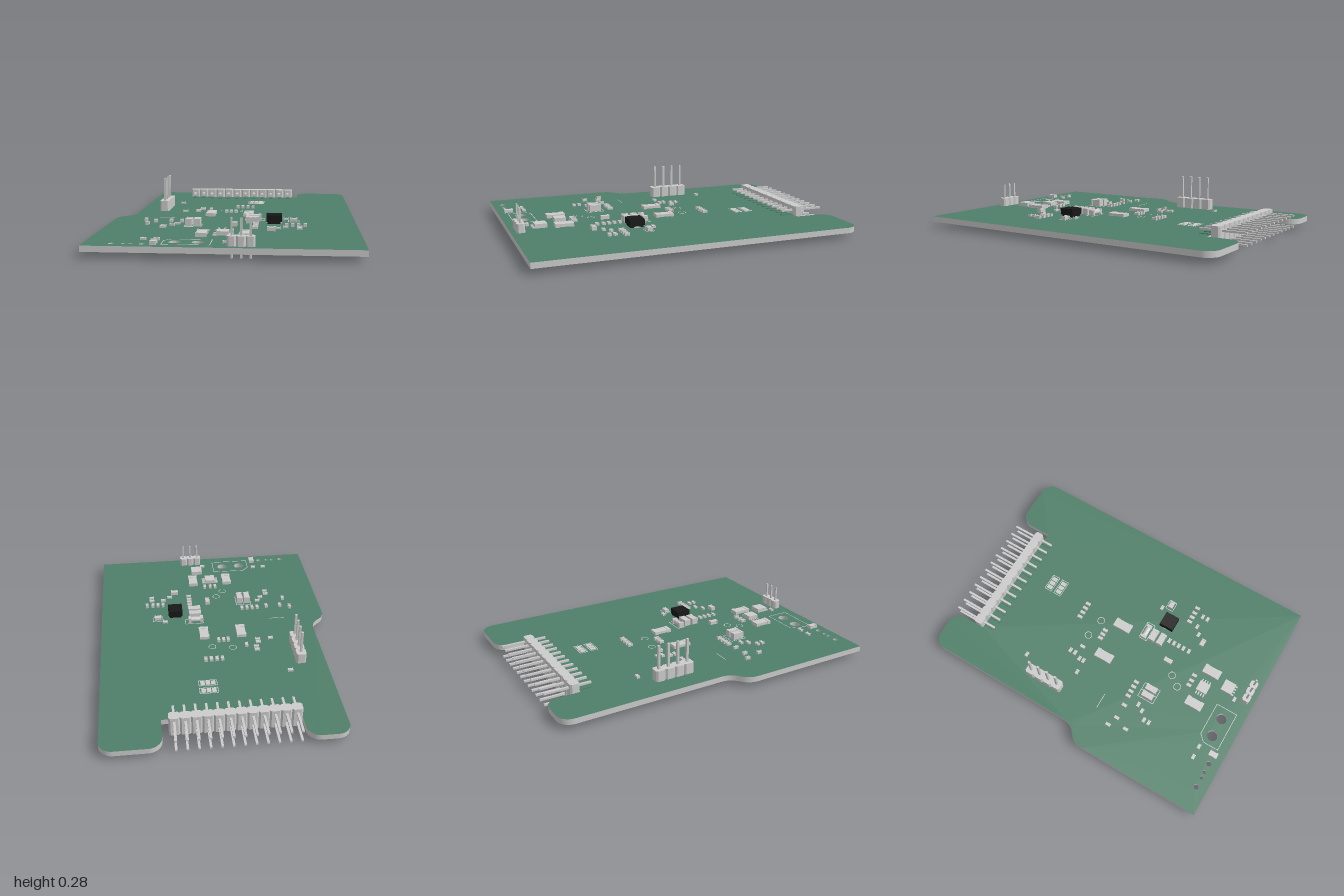
import * as THREE from 'three';

const TOP = 0.075, BOTTOM = 0.041;
const grey = new THREE.MeshStandardMaterial({ color: 0xcccccc, flatShading: true });
const green = new THREE.MeshStandardMaterial({ color: 0x4f7f69 });
const black = new THREE.MeshStandardMaterial({ color: 0x181818, flatShading: true });

export function createModel() {
  const model = new THREE.Group();

  function group(name, parent = model) {
    const g = new THREE.Group();
    g.name = name;
    parent.add(g);
    return g;
  }
  // Box given by centre x and z, bottom y, and its sizes
  function box(parent, name, x, y, z, w, h, d, material = grey) {
    const m = new THREE.Mesh(new THREE.BoxGeometry(w, h, d), material);
    m.position.set(x, y + h / 2, z);
    m.name = name;
    parent.add(m);
    return m;
  }
  // Chamfered block extruded along y
  function block(parent, name, x, y, z, w, h, d, c = 0.01) {
    const a = w / 2, b = d / 2;
    const s = new THREE.Shape([[-a + c, -b], [a - c, -b], [a, -b + c], [a, b - c], [a - c, b], [-a + c, b], [-a, b - c], [-a, -b + c]]
      .map(p => new THREE.Vector2(...p)));
    const geo = new THREE.ExtrudeGeometry(s, { depth: h, bevelEnabled: false }).rotateX(-Math.PI / 2);
    const m = new THREE.Mesh(geo, grey);
    m.position.set(x, y, z);
    m.name = name;
    parent.add(m);
    return m;
  }
  // Two-terminal surface part: a body between slightly larger end caps
  function chip(parent, name, x, z, w, d, h, y = TOP) {
    const g = group(name, parent);
    const alongX = w > d;
    const L = alongX ? w : d, cap = L * 0.2;
    box(g, 'body', x, y + 0.002, z, alongX ? w - cap : w * 0.94, h - 0.004, alongX ? d * 0.94 : d - cap);
    for (const s of [-1, 1]) {
      const o = s * (L - cap) / 2;
      box(g, 'terminal', x + (alongX ? o : 0), y, z + (alongX ? 0 : o), alongX ? cap : w, h, alongX ? d : cap);
    }
  }

  // Board outline, shape y is model z
  const s = new THREE.Shape();
  s.moveTo(-0.75, 1);
  s.lineTo(-0.75, 0.2);
  s.bezierCurveTo(-0.75, 0.08, -0.65, 0.12, -0.65, 0);
  s.lineTo(-0.65, -0.92);
  s.absarc(-0.57, -0.92, 0.08, Math.PI, Math.PI * 1.5, false);
  s.absarc(-0.48, -0.92, 0.08, Math.PI * 1.5, Math.PI * 2, false);
  s.lineTo(-0.4, -0.78);
  s.lineTo(0.4, -0.78);
  s.absarc(0.48, -0.92, 0.08, Math.PI, Math.PI * 1.5, false);
  s.absarc(0.67, -0.92, 0.08, Math.PI * 1.5, Math.PI * 2, false);
  s.lineTo(0.75, 1);
  s.closePath();
  // Drill holes
  for (const [x, z, r] of [[-0.265, 0.87, 0.034], [-0.14, 0.87, 0.034], [-0.595, 0.935, 0.017],
    [-0.53, 0.935, 0.012], [-0.49, 0.935, 0.012], [-0.43, 0.935, 0.017]]) {
    const hole = new THREE.Path();
    hole.absarc(x, z, r, 0, Math.PI * 2, true);
    s.holes.push(hole);
  }
  const boardGeo = new THREE.ExtrudeGeometry(s, { depth: TOP - BOTTOM, bevelEnabled: false, curveSegments: 14 })
    .rotateX(Math.PI / 2).translate(0, TOP, 0);
  const board = new THREE.Mesh(boardGeo, [green, grey]);
  board.name = 'circuitBoard';
  model.add(board);

  // Edge header: 12 by 2 pins straddling the board's back edge
  const edge = group('edgeHeader');
  for (let i = 0; i < 12; i++) {
    const x = -0.37 + i * 0.0635;
    block(edge, 'housing', x, 0.007, -0.811, 0.0635, 0.123, 0.058);
    for (const y of [0.097, 0.029]) box(edge, 'pin', x, y, -0.846, 0.014, 0.012, 0.288);
    for (const y of [TOP, 0.037]) box(edge, 'pad', x, y, -0.74, 0.025, 0.004, 0.075, green);
  }

  // Upright pin headers
  const side = group('sideHeader');
  for (let i = 0; i < 4; i++) {
    const z = -0.328 + i * 0.0635;
    block(side, 'housing', -0.492, TOP, z, 0.062, 0.068, 0.0635);
    box(side, 'pin', -0.492, 0.006, z, 0.014, 0.284, 0.014);
  }
  const front = group('frontHeader');
  for (let i = 0; i < 3; i++) {
    const x = 0.046 + i * 0.05;
    block(front, 'housing', x, TOP, 0.942, 0.05, 0.055, 0.05);
    box(front, 'pin', x, 0.008, 0.942, 0.011, 0.217, 0.011);
  }

  // Small resistors and capacitors, standing along z then along x
  const small = group('smallChips');
  for (const [x, z] of [[-0.01, -0.265], [0.025, -0.265], [0.06, -0.265], [0.095, -0.265],
    [-0.07, -0.07], [-0.04, -0.07], [-0.008, -0.07], [-0.18, -0.14], [-0.54, 0.27], [-0.475, 0.295], [-0.38, 0.295],
    [-0.315, 0.285], [-0.28, 0.285], [-0.245, 0.285], [-0.21, 0.285], [-0.51, 0.38], [-0.055, 0.585], [-0.02, 0.585],
    [0.02, 0.585], [0.33, 0.38], [0.365, 0.38], [0.4, 0.38], [0.44, 0.38]])
    chip(small, 'chip', x, z, 0.02, 0.032, 0.018);
  for (const [x, z] of [[-0.41, -0.425], [-0.24, -0.195], [-0.24, -0.16], [-0.26, -0.115], [-0.26, -0.085],
    [-0.345, -0.08], [0.325, 0.175], [0.325, 0.44], [0.405, 0.44], [0.28, 0.475], [0.405, 0.475], [0.145, 0.33], [0.145, 0.365],
    [0.145, 0.4], [0.145, 0.435], [0.145, 0.475], [-0.33, 0.37], [-0.355, 0.41], [-0.4, 0.45], [-0.4, 0.485],
    [-0.37, 0.83], [-0.445, 0.83], [0.01, 0.88]])
    chip(small, 'chip', x, z, 0.032, 0.02, 0.014);

  // Larger two-terminal parts: x, z, width, depth, height
  const large = group('largeChips');
  for (const p of [[-0.163, 0.015, 0.062, 0.118, 0.02], [0.08, 0.015, 0.062, 0.118, 0.02], [-0.145, 0.672, 0.062, 0.115, 0.023],
    [0.098, 0.672, 0.062, 0.115, 0.023], [0.12, 0.225, 0.08, 0.042, 0.04], [0.12, 0.282, 0.08, 0.042, 0.04],
    [-0.255, 0.392, 0.04, 0.075, 0.045], [-0.205, 0.392, 0.04, 0.075, 0.045], [0.02, 0.39, 0.03, 0.055, 0.025],
    [0.242, 0.525, 0.048, 0.03, 0.025], [0.372, 0.22, 0.045, 0.032, 0.022], [-0.37, 0.93, 0.036, 0.055, 0.022]])
    chip(large, 'chip', ...p);

  // Glass diode lying along x
  const diode = new THREE.Mesh(new THREE.CylinderGeometry(0.017, 0.017, 0.095, 16).rotateZ(Math.PI / 2), grey);
  diode.position.set(0.12, TOP + 0.018, 0.17);
  diode.name = 'diode';
  model.add(diode);
  for (const x of [0.08, 0.16]) box(model, 'diodeTerminal', x, TOP, 0.17, 0.018, 0.035, 0.036);

  // Shielded inductor
  const inductor = group('inductor');
  box(inductor, 'core', 0.252, TOP, 0.268, 0.08, 0.02, 0.08, black);
  box(inductor, 'cover', 0.252, 0.088, 0.268, 0.094, 0.04, 0.094, black);
  for (const x of [0.215, 0.289]) box(inductor, 'terminal', x, TOP, 0.268, 0.02, 0.006, 0.04);

  // Legged integrated circuit and power transistor
  const ic = group('integratedCircuit');
  box(ic, 'body', -0.025, TOP + 0.004, 0.672, 0.068, 0.025, 0.072);
  for (const sx of [-1, 1]) for (let i = 0; i < 4; i++)
    box(ic, 'leg', -0.025 + sx * 0.043, TOP, 0.646 + i * 0.0173, 0.026, 0.01, 0.008);
  const transistor = group('transistor');
  box(transistor, 'body', 0.06, TOP, 0.81, 0.076, 0.026, 0.075);
  for (let i = 0; i < 4; i++) box(transistor, 'leg', 0.03 + i * 0.02, TOP, 0.853, 0.01, 0.008, 0.018);

  // Solder bridges
  for (const z of [-0.555, -0.485])
    for (let i = 0; i < 3; i++) box(model, 'solderPad', 0.073 + i * 0.032, TOP, z, 0.027, 0.002, 0.037);

  // Parts on the underside
  const under = group('undersideParts');
  block(under, 'underBody', 0.06, 0.013, 0.78, 0.04, 0.024, 0.075, 0.006);
  for (const [dx, dz] of [[-0.025, 0], [0.025, -0.024], [0.025, 0.024]])
    box(under, 'underLeg', 0.06 + dx, 0.029, 0.78 + dz, 0.03, 0.012, 0.014);
  for (const z of [-0.51, -0.548]) chip(under, 'underChip', 0.15, z, 0.032, 0.02, 0.013, BOTTOM - 0.013);

  // Printed marking lines: rectangles and test point rings
  const marks = group('boardMarkings');
  const line = (x0, z0, x1, z1) => {
    const m = box(marks, 'line', (x0 + x1) / 2, TOP, (z0 + z1) / 2, Math.hypot(x1 - x0, z1 - z0), 0.001, 0.004);
    m.rotation.y = -Math.atan2(z1 - z0, x1 - x0);
  };
  const path = pts => pts.forEach((p, i) => line(...p, ...pts[(i + 1) % pts.length]));
  path([[-0.33, 0.84], [-0.29, 0.8], [-0.07, 0.8], [-0.07, 0.94], [-0.33, 0.94]]);
  for (const [x, z, w, d] of [[0.105, -0.555, 0.11, 0.05], [0.105, -0.485, 0.11, 0.05], [0.13, 0.17, 0.12, 0.055],
    [0.372, 0.22, 0.065, 0.05], [-0.255, 0.39, 0.05, 0.11], [-0.205, 0.39, 0.05, 0.11]])
    path([[x - w / 2, z - d / 2], [x + w / 2, z - d / 2], [x + w / 2, z + d / 2], [x - w / 2, z + d / 2]]);
  line(-0.48, 0.15, -0.38, 0.15);
  for (const [x, z] of [[-0.09, -0.15], [0.04, -0.13], [-0.05, 0.46], [-0.1, 0.525]]) {
    const ring = new THREE.Mesh(new THREE.RingGeometry(0.021, 0.025, 24).rotateX(-Math.PI / 2), grey);
    ring.position.set(x, TOP + 0.001, z);
    ring.name = 'testPointRing';
    marks.add(ring);
  }
  return model;
}
